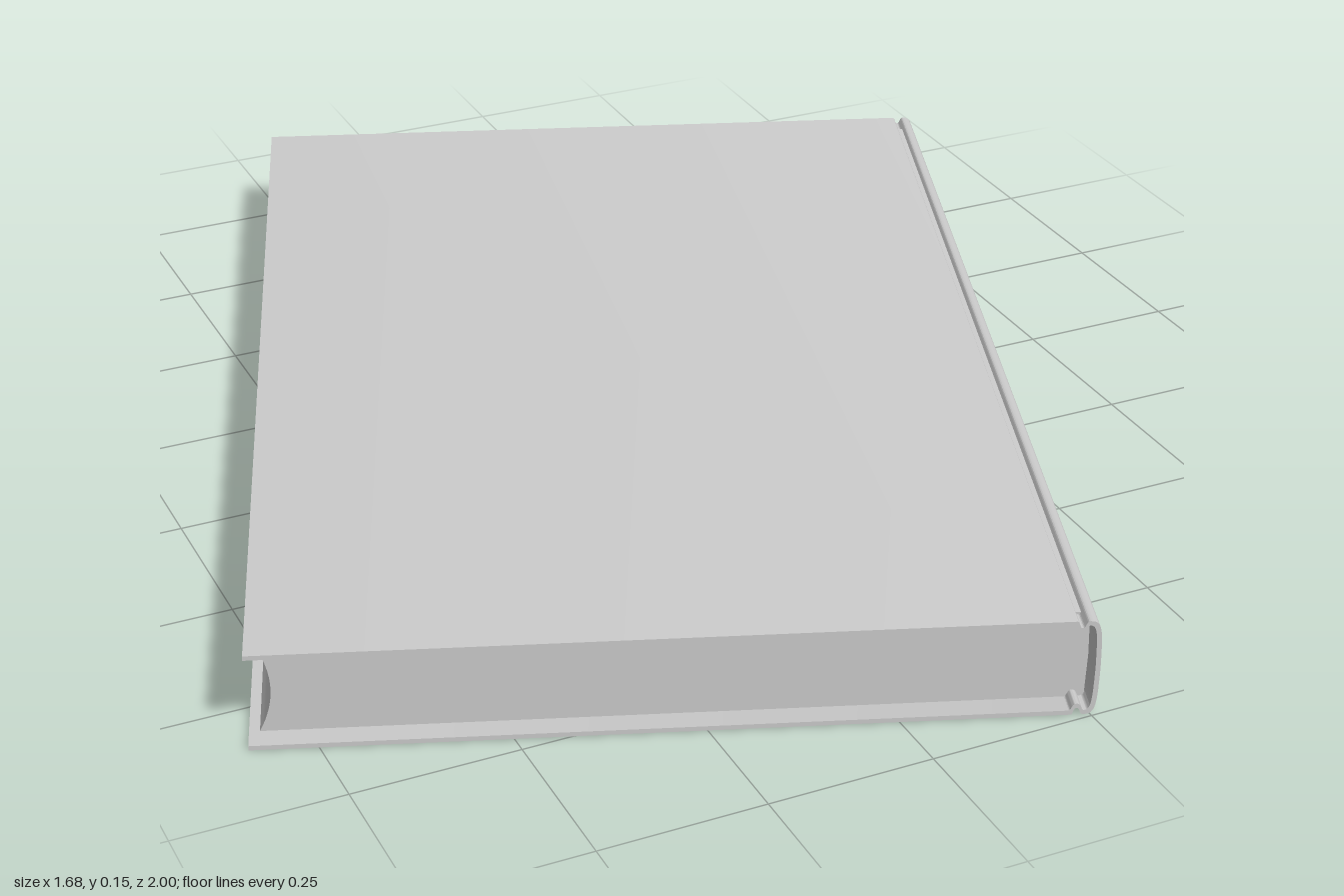
import * as THREE from 'three';
import { toCreasedNormals } from 'three/addons/utils/BufferGeometryUtils.js';

const W = 0.585;      // half width, spine on +x
const H = 0.0765;     // half thickness
const LENGTH = 1.70;  // cover length
const T = 0.007;      // board thickness

// Upper half of a cover line, from the fore edge to the middle of the spine.
// Each bend: board, hinge groove, rounded shoulder, gently bulging spine.
function coverLine(inset) {
  const top = H - inset, x = W - inset;
  const line = new THREE.Path();
  line.moveTo(-W, top);
  line.lineTo(0.548 - inset * 0.4, top);
  line.bezierCurveTo(0.552 - inset * 0.4, top, 0.551 - inset * 0.4, top - 0.011, 0.556, top - 0.011);
  line.bezierCurveTo(0.561 + inset * 0.3, top - 0.011, 0.560 + inset * 0.3, top, 0.566, top);
  line.bezierCurveTo(x - 0.001, top, x - 0.001, top - 0.015, x, 0);
  return line.getPoints(8);
}

const flip = (points) => points.map((p) => new THREE.Vector2(p.x, -p.y)).reverse();

// Extrudes a closed outline along z, centred, with sharp edges kept.
function extrude(points, depth, name, material) {
  const geometry = new THREE.ExtrudeGeometry(new THREE.Shape(points), { depth, bevelEnabled: false });
  geometry.translate(0, 0, -depth / 2);
  const mesh = new THREE.Mesh(toCreasedNormals(geometry, 0.6), material);
  mesh.name = name;
  return mesh;
}

export function createModel() {
  const material = new THREE.MeshStandardMaterial({ color: 0xcccccc });

  // Cover: boards, hinges and spine as one wrapped sheet
  const outer = coverLine(0);
  const inner = coverLine(T);
  const outerLoop = [...outer, ...flip(outer).slice(1)];
  const innerLoop = [...inner, ...flip(inner).slice(1)];
  const cover = extrude([...outerLoop, ...innerLoop.reverse()], LENGTH, 'cover', material);

  // Page block: concave fore edge, back tucked into the spine
  const pageH = H - T;
  const pages = [new THREE.Vector2(0.573, -pageH + 0.004), new THREE.Vector2(0.575, 0),
    new THREE.Vector2(0.573, pageH - 0.004), new THREE.Vector2(0.566, pageH)];
  for (let i = 0; i <= 16; i++) {
    const s = 1 - i / 8;
    pages.push(new THREE.Vector2(-W + 0.015 + 0.018 * (1 - s * s), pageH * s));
  }
  pages.push(new THREE.Vector2(0.566, -pageH));
  const pageBlock = extrude(pages, LENGTH - 0.07, 'pageBlock', material);

  // The book lies turned on the ground
  const book = new THREE.Group();
  book.name = 'book';
  book.add(cover, pageBlock);
  book.position.y = H;
  book.rotation.y = -THREE.MathUtils.degToRad(20);

  const group = new THREE.Group();
  group.add(book);
  return group;
}
